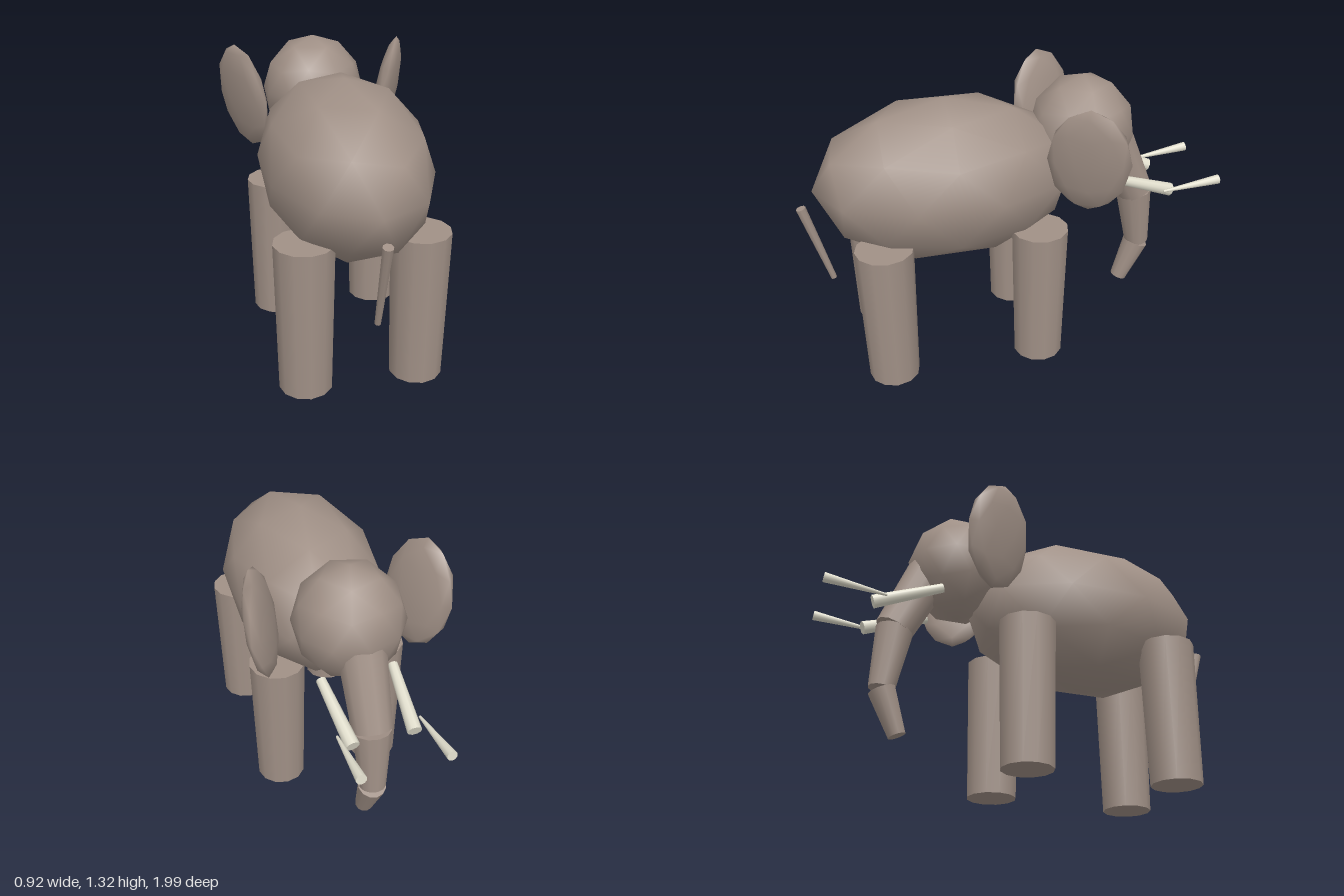
import * as THREE from 'three';

const skin = new THREE.MeshStandardMaterial({ color: 0xa09086 });
skin.name = 'skin';
const ivory = new THREE.MeshStandardMaterial({ color: 0xe0ddcc });
ivory.name = 'ivory';

// Low-poly ellipsoid: an icosphere with a vertex pointing up
function blob(name, radii, position) {
  const geometry = new THREE.IcosahedronGeometry(1, 1);
  geometry.rotateX(-Math.atan((1 + Math.sqrt(5)) / 2));
  geometry.rotateY(Math.PI / 2);
  geometry.scale(...radii);
  const mesh = new THREE.Mesh(geometry, skin);
  mesh.name = name;
  mesh.position.set(...position);
  return mesh;
}

// Tapered limb between two points
function limb(name, from, to, r0, r1, material = skin, sides = 12) {
  const a = new THREE.Vector3(...from);
  const b = new THREE.Vector3(...to);
  const axis = a.clone().sub(b);
  const mesh = new THREE.Mesh(new THREE.CylinderGeometry(r0, r1, axis.length(), sides), material);
  mesh.name = name;
  mesh.position.copy(a).add(b).multiplyScalar(0.5);
  mesh.quaternion.setFromUnitVectors(new THREE.Vector3(0, 1, 0), axis.normalize());
  return mesh;
}

export function createModel() {
  const elephant = new THREE.Group();
  elephant.name = 'elephant';

  elephant.add(blob('body', [0.375, 0.385, 0.615], [0, 0.885, 0.3]));
  elephant.add(blob('head', [0.25, 0.265, 0.25], [0, 1.053, -0.347]));

  // Trunk in three tapering segments
  const trunk = new THREE.Group();
  trunk.name = 'trunk';
  trunk.add(
    limb('trunkUpper', [0, 1.0, -0.495], [0, 0.68, -0.645], 0.108, 0.09),
    limb('trunkMiddle', [0, 0.68, -0.64], [0, 0.38, -0.68], 0.088, 0.06),
    limb('trunkTip', [0, 0.375, -0.677], [0, 0.17, -0.595], 0.064, 0.041)
  );
  elephant.add(trunk);

  elephant.add(limb('tail', [0, 0.805, 0.972], [0, 0.412, 0.866], 0.023, 0.014, skin, 8));

  for (const s of [1, -1]) {
    // Legs
    elephant.add(limb('frontLeg', [s * 0.25, 0.69, -0.078], [s * 0.25, 0, -0.078], 0.132, 0.118));
    elephant.add(limb('hindLeg', [s * 0.25, 0.69, 0.637], [s * 0.25, 0, 0.637], 0.132, 0.118));

    // Ears, turned forward and leaning outward
    const ear = blob('ear', [0.05, 0.26, 0.185], [s * 0.362, 1.057, -0.26]);
    ear.rotation.set(0, s * -0.47, s * -0.16);
    elephant.add(ear);

    // Tusks in two pieces
    const tusk = new THREE.Group();
    tusk.name = 'tusk';
    tusk.add(
      limb('tuskBase', [s * 0.165, 0.85, -0.46], [s * 0.137, 0.735, -0.77], 0.022, 0.032, ivory, 10),
      limb('tuskTip', [s * 0.184, 0.755, -0.715], [s * 0.19, 0.787, -0.997], 0.006, 0.023, ivory, 10)
    );
    elephant.add(tusk);
  }
  return elephant;
}
